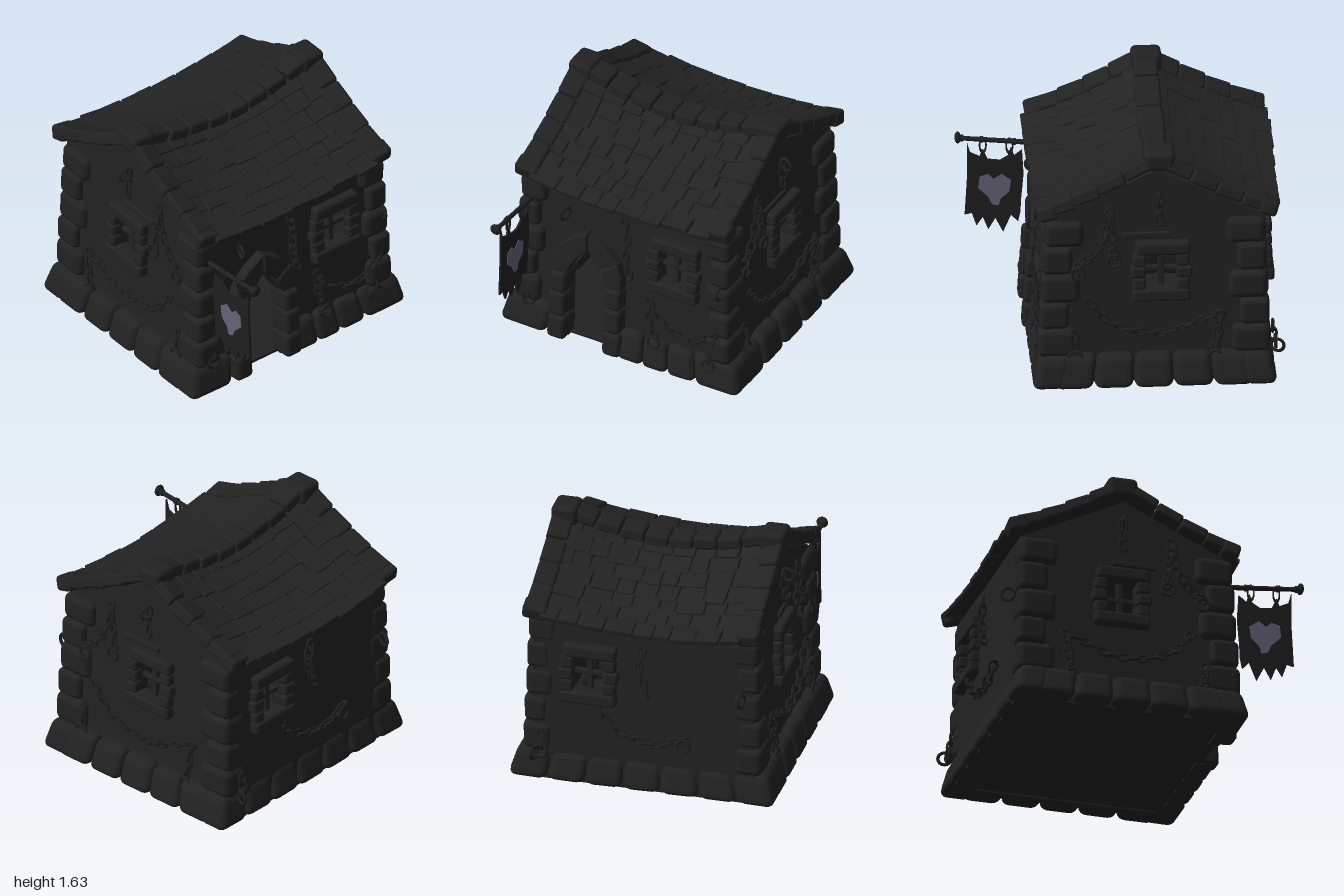
import * as THREE from 'three';
import { RoundedBoxGeometry } from 'three/addons/geometries/RoundedBoxGeometry.js';

const mat = (name, color, side = THREE.FrontSide) => {
  const m = new THREE.MeshStandardMaterial({ color, side });
  m.name = name;
  return m;
};

export function createModel() {
  const stoneMat = mat('dark stone', 0x222222);
  const roofMat = mat('roof slate', 0x232323, THREE.DoubleSide);
  const ironMat = mat('iron', 0x202020);
  const clothMat = mat('dark cloth', 0x1f1f1f, THREE.DoubleSide);
  const emblemMat = mat('faded violet', 0x666278, THREE.DoubleSide);
  const model = new THREE.Group();
  model.name = 'stoneCottage';

  let seed = 7;
  const rnd = (a, b) => {
    seed = (seed * 16807) % 2147483647;
    return a + (b - a) * seed / 2147483647;
  };
  const group = (name, parent = model) => {
    const g = new THREE.Group();
    g.name = name;
    parent.add(g);
    return g;
  };
  const add = (parent, name, geo, material, x = 0, y = 0, z = 0) => {
    const m = new THREE.Mesh(geo, material);
    m.name = name;
    m.position.set(x, y, z);
    parent.add(m);
    return m;
  };
  // slightly skewed rounded block
  const block = (parent, name, w, h, d, x, y, z, material = stoneMat, seg = 2) => {
    const r = Math.min(w, h, d) * 0.25;
    const geo = new RoundedBoxGeometry(w, h, d, seg, r);
    const p = geo.attributes.position;
    const a = rnd(-0.06, 0.06), b = rnd(-0.06, 0.06);
    for (let i = 0; i < p.count; i++) {
      const px = p.getX(i), py = p.getY(i);
      p.setXY(i, px * (1 + a * py / h), py * (1 + b * px / w));
    }
    return add(parent, name, geo, material, x, y, z);
  };
  const shapeOf = pts => new THREE.Shape(pts.map(p => new THREE.Vector2(p[0], p[1])));
  const extrude = (shape, depth, bevel = 0) => new THREE.ExtrudeGeometry(shape, {
    depth, bevelEnabled: bevel > 0, bevelSize: bevel, bevelThickness: bevel, bevelSegments: 2, bevelOffset: -bevel });

  // ---- walls: each group is built facing +z, then turned and leaned inward
  const wall = (name, pts, x, z, turn, lean, winX) => {
    const g = group(name);
    g.rotation.order = 'YXZ';
    g.rotation.set(-lean, turn, 0);
    g.position.set(x, 0, z);
    const s = shapeOf(pts);
    const hole = [[-0.1, 0.655], [-0.1, 0.9], [0.1, 0.9], [0.1, 0.655]];
    s.holes.push(new THREE.Path(hole.map(p => new THREE.Vector2(p[0] + winX, p[1]))));
    add(g, 'wallPanel', extrude(s, 0.07), stoneMat, 0, 0, -0.07);
    // window surround and cross bars
    const w = group('window', g);
    w.position.set(winX, 0.78, 0);
    block(w, 'lintel', 0.35, 0.09, 0.12, 0.01, 0.165, 0);
    block(w, 'sill', 0.37, 0.085, 0.13, 0, -0.158, 0);
    for (const sx of [-1, 1]) for (let i = 0; i < 3; i++)
      block(w, 'jambStone', i === 1 ? 0.1 : 0.085, 0.083, 0.11, sx * (i === 1 ? 0.148 : 0.14), (i - 1) * 0.082, 0);
    block(w, 'mullion', 0.04, 0.26, 0.035, 0, 0, -0.03);
    block(w, 'crossBar', 0.21, 0.035, 0.035, 0, 0, -0.03);
    return g;
  };
  const front = wall('frontWall', [[-0.74, 0], [-0.4, 0], [-0.4, 0.5], [-0.25, 0.74], [-0.1, 0.5], [-0.1, 0],
    [0.74, 0], [0.72, 1.15], [-0.72, 1.15]], 0, 0.52, 0, 0.06, 0.355);
  const back = wall('backWall', [[-0.74, 0], [0.74, 0], [0.72, 1.15], [-0.72, 1.15]], 0, -0.92, Math.PI, 0.03, -0.355);
  const gable = [[-0.7, 0], [0.7, 0], [0.66, 1.16], [0.35, 1.31], [0, 1.48], [-0.35, 1.31], [-0.66, 1.16]];
  const left = wall('leftWall', gable, 0.75, -0.2, Math.PI / 2, 0.03, 0.03);
  const right = wall('rightWall', gable, -0.75, -0.2, -Math.PI / 2, 0.03, -0.03);
  add(model, 'floor', new THREE.BoxGeometry(1.46, 0.02, 1.4), stoneMat, 0, 0.02, -0.2);

  // ---- flared foundation stones
  const base = group('foundation');
  const footing = (w, d, x, z) => {
    const m = block(base, 'footingStone', w, 0.21, d, 0, 0, 0);
    m.geometry.translate(x, 0.105, z + 0.185);
    const p = m.geometry.attributes.position;
    for (let i = 0; i < p.count; i++) {
      const k = 1 + 0.07 * (1 - Math.min(1, p.getY(i) / 0.21));
      p.setXYZ(i, p.getX(i) * k, Math.max(0, p.getY(i)), p.getZ(i) * k);
    }
    m.geometry.computeVertexNormals();
    m.position.z = -0.185;
  };
  for (const [x, w] of [[-0.66, 0.32], [0.07, 0.17], [0.24, 0.17], [0.42, 0.19], [0.67, 0.31]]) footing(w, 0.2, x, 0.45);
  for (let i = 0; i < 7; i++) footing(0.234, 0.2, -0.705 + i * 0.235, -0.82);
  for (const s of [-1, 1]) for (let i = 0; i < 5; i++) footing(0.2, 0.238, s * 0.72, -0.66 + i * 0.24);

  // ---- corner quoins, alternating long and short
  const quoins = group('cornerStones');
  for (const sx of [-1, 1]) for (const sz of [-1, 1]) {
    let y = 0.19;
    [0.2, 0.18, 0.2, 0.19, 0.18].forEach((h, i) => {
      const w = i % 2 ? 0.15 : 0.19, d = i % 2 ? 0.19 : 0.25;
      const yc = y + h / 2;
      const ox = 0.8 - 0.035 * yc;
      const oz = sz > 0 ? 0.575 - 0.06 * yc : 0.94 - 0.04 * yc;
      block(quoins, 'quoin', w, h, d, sx * (ox - w / 2), yc, sz * (oz - d / 2));
      y += h;
    });
  }

  // ---- pointed doorway
  const door = group('doorway', front);
  for (const s of [-1, 1]) {
    [[0.005, 0.175], [0.18, 0.18], [0.36, 0.15]].forEach(([y, h], i) =>
      block(door, 'doorPillarStone', 0.115 + (i === 0 ? 0.015 : 0), h, 0.17, -0.25 + s * 0.2, y + h / 2, 0.01));
    const arch = [
      [[0.145, 0.51], [0.25, 0.51], [0.255, 0.6], [0.215, 0.7], [0.095, 0.62]],
      [[0.095, 0.625], [0.213, 0.705], [0.13, 0.79], [0.003, 0.865], [0.003, 0.73]]];
    for (const pts of arch)
      add(door, 'archStone', extrude(shapeOf(pts.map(p => [p[0] * s, p[1]])), 0.11, 0.012), stoneMat, -0.25, 0, -0.05);
  }

  // ---- sagging roof
  const ZC = -0.21, RUN = 0.76;
  const roofY = (x, t) => 1.43 - 0.42 * t + 0.12 * t * t + 0.11 * (x / 0.65) ** 2 * (1 - 0.6 * t);
  const onRoof = (m, x, t, s, lift) => {
    const dz = (roofY(x, t + 0.01) - roofY(x, t - 0.01)) / (0.02 * RUN);
    const dx = (roofY(x + 0.01, t) - roofY(x - 0.01, t)) / 0.02;
    m.position.set(x, roofY(x, t) + lift, ZC + s * RUN * t);
    m.rotation.set(s * (Math.atan(-dz) - 0.06), 0, Math.atan(dx));
  };
  const roof = group('roof');
  const sheet = new THREE.PlaneGeometry(1.44, 2, 16, 20);
  const sp = sheet.attributes.position;
  for (let i = 0; i < sp.count; i++) {
    const x = sp.getX(i), v = -sp.getY(i);
    sp.setXYZ(i, x, roofY(x, Math.abs(v)) - 0.005, ZC + v * RUN * 0.97);
  }
  sheet.computeVertexNormals();
  add(roof, 'roofDeck', sheet, roofMat);
  for (const s of [-1, 1]) {
    for (let row = 0; row < 7; row++) {
      let x = -0.66;
      while (x < 0.62) {
        let w = rnd(0.11, 0.2);
        if (x + w > 0.57) w = 0.66 - x;
        const m = block(roof, 'slate', w - 0.004, 0.035, 0.145 + rnd(-0.01, 0.02), 0, 0, 0, roofMat, 1);
        onRoof(m, x + w / 2, (row + 0.55) / 7 + rnd(-0.008, 0.008), s, 0.012 + rnd(0, 0.01));
        m.rotation.y = rnd(-0.04, 0.04);
        x += w;
      }
    }
    // verge stones along the gables
    for (const sx of [-1, 1]) {
      for (let i = 0; i < 4; i++)
        onRoof(block(roof, 'vergeStone', 0.14, 0.085, 0.185, 0, 0, 0), sx * 0.7, 0.17 + i * 0.215, s, 0.015);
      onRoof(block(roof, 'eaveEndStone', 0.155, 0.1, 0.12, 0, 0, 0), sx * 0.705, 0.925, s, 0.005);
    }
  }
  // ridge
  for (let i = 0; i < 8; i++) {
    const x = -0.56 + i * 0.16;
    const m = block(roof, 'ridgeStone', 0.156, 0.085, 0.15 + rnd(-0.01, 0.02), x, roofY(x, 0) + 0.03 + rnd(-0.008, 0.008), ZC);
    m.rotation.z = Math.atan(0.52 * x);
  }
  for (const s of [-1, 1]) block(roof, 'ridgeEndStone', 0.17, 0.13, 0.195, s * 0.685, 1.56, ZC - 0.01);

  // ---- chains: links follow a path lying on a wall
  const linkGeo = new THREE.TorusGeometry(0.026, 0.009, 6, 12).scale(1, 1.55, 1);
  const ringGeo = new THREE.TorusGeometry(0.042, 0.011, 6, 16);
  const chain = (w, pts, ringAtEnd = false) => {
    const g = group('chain', w);
    const curve = new THREE.CatmullRomCurve3(pts.map(p => new THREE.Vector3(p[0], p[1], 0.035)));
    const n = Math.max(1, Math.round(curve.getLength() / 0.064));
    for (let i = 0; i <= n; i++) {
      const p = curve.getPointAt(i / n), t = curve.getTangentAt(i / n);
      const m = add(g, 'link', linkGeo, ironMat, p.x, p.y, p.z);
      m.rotation.z = Math.atan2(-t.x, t.y);
      m.rotateY(i % 2 ? 1.2 : 0.2);
    }
    const end = pts[pts.length - 1];
    if (ringAtEnd) add(g, 'ring', ringGeo, ironMat, end[0], end[1] - 0.05, 0.05);
  };
  const wallRing = (w, x, y) => {
    add(w, 'wallRing', ringGeo, ironMat, x, y, 0.06).rotation.y = 1.3;
  };
  chain(front, [[0, 1.02], [0.02, 0.9], [0.01, 0.78], [0.04, 0.64]]);
  chain(front, [[0.2, 0.49], [0.28, 0.38], [0.42, 0.31], [0.56, 0.31], [0.68, 0.41]]);
  chain(front, [[0.2, 0.49], [0.2, 0.36], [0.24, 0.25]], true);
  chain(front, [[0.68, 0.42], [0.66, 0.3], [0.64, 0.21]], true);
  chain(front, [[-0.67, 0.32], [-0.67, 0.27]], true);
  wallRing(front, -0.42, 0.96);
  wallRing(front, 0.72, 0.75);
  chain(back, [[0, 1.0], [-0.02, 0.88], [0.03, 0.72]]);
  chain(back, [[-0.3, 0.6], [-0.2, 0.45], [0, 0.36], [0.15, 0.36], [0.28, 0.42]], true);
  chain(back, [[-0.66, 0.32], [-0.66, 0.26]], true);
  wallRing(back, 0.66, 0.75);
  wallRing(back, -0.7, 0.2);
  for (const [w, s] of [[left, 1], [right, -1]]) {
    chain(w, [[-0.42 * s, 0.57], [-0.3 * s, 0.43], [-0.1 * s, 0.36], [0.1 * s, 0.36], [0.25 * s, 0.42], [0.4 * s, 0.47]]);
    chain(w, [[0.4 * s, 0.46], [0.39 * s, 0.34], [0.37 * s, 0.23]], true);
    chain(w, [[-0.52 * s, 0.35], [-0.52 * s, 0.25]], true);
    chain(w, [[-0.3 * s, 1.2], [-0.33 * s, 1.05], [-0.42 * s, 0.9], [-0.5 * s, 0.84]], true);
    chain(w, [[-0.3 * s, 1.15], [-0.28 * s, 1.03], [-0.27 * s, 0.92]], true);
    chain(w, [[0.02 * s, 1.29], [0.02 * s, 1.15]]);
    wallRing(w, 0.02 * s, 1.3);
    block(w, 'raisedStone', 0.3, 0.04, 0.04, -0.06 * s, 1.03, 0);
  }

  // ---- banner on a pole
  const banner = group('banner');
  banner.position.x = -0.67;
  const pole = add(banner, 'pole', new THREE.CylinderGeometry(0.015, 0.017, 0.54, 10), ironMat, 0, 1.01, 0.71);
  pole.rotation.x = Math.PI / 2 - 0.1;
  for (const [z, y] of [[0.62, 1.0], [0.83, 1.022], [0.955, 1.035]])
    add(banner, 'poleBand', new THREE.CylinderGeometry(0.022, 0.022, 0.022, 10), ironMat, 0, y, z).rotation.x = Math.PI / 2 - 0.1;
  add(banner, 'poleKnob', new THREE.SphereGeometry(0.038, 16, 10).scale(1, 1, 0.55), ironMat, 0, 1.04, 0.98);
  block(banner, 'poleMount', 0.07, 0.1, 0.05, 0, 0.99, 0.48, ironMat);
  for (const [z, y] of [[0.65, 0.99], [0.82, 1.0]]) {
    const strap = add(banner, 'hangingStrap', new THREE.TorusGeometry(0.035, 0.009, 6, 14).scale(0.6, 1.4, 1), clothMat, 0, y - 0.02, z);
    strap.rotation.y = Math.PI / 2;
  }
  const cloth = shapeOf([[0.92, 1.0], [0.9, 0.93], [0.84, 0.9], [0.82, 0.95], [0.79, 0.88], [0.71, 0.87], [0.66, 0.9],
    [0.64, 0.96], [0.62, 0.9], [0.57, 0.94], [0.56, 0.77], [0.575, 0.6], [0.58, 0.5], [0.595, 0.43], [0.64, 0.48],
    [0.69, 0.36], [0.74, 0.46], [0.785, 0.38], [0.82, 0.47], [0.86, 0.41], [0.89, 0.5], [0.935, 0.49], [0.92, 0.75]]);
  add(banner, 'cloth', extrude(cloth, 0.014), clothMat, 0.007).rotation.y = -Math.PI / 2;
  // faded patch, showing on both faces
  const patch = shapeOf([[0.85, 0.68], [0.84, 0.76], [0.786, 0.775], [0.75, 0.74], [0.7, 0.775], [0.64, 0.73],
    [0.65, 0.65], [0.705, 0.6], [0.72, 0.55], [0.76, 0.56], [0.786, 0.615]]);
  for (const s of [-1, 1])
    add(banner, 'fadedPatch', extrude(patch, 0.004), emblemMat, s * 0.009 + 0.002).rotation.y = -Math.PI / 2;
  return model;
}
